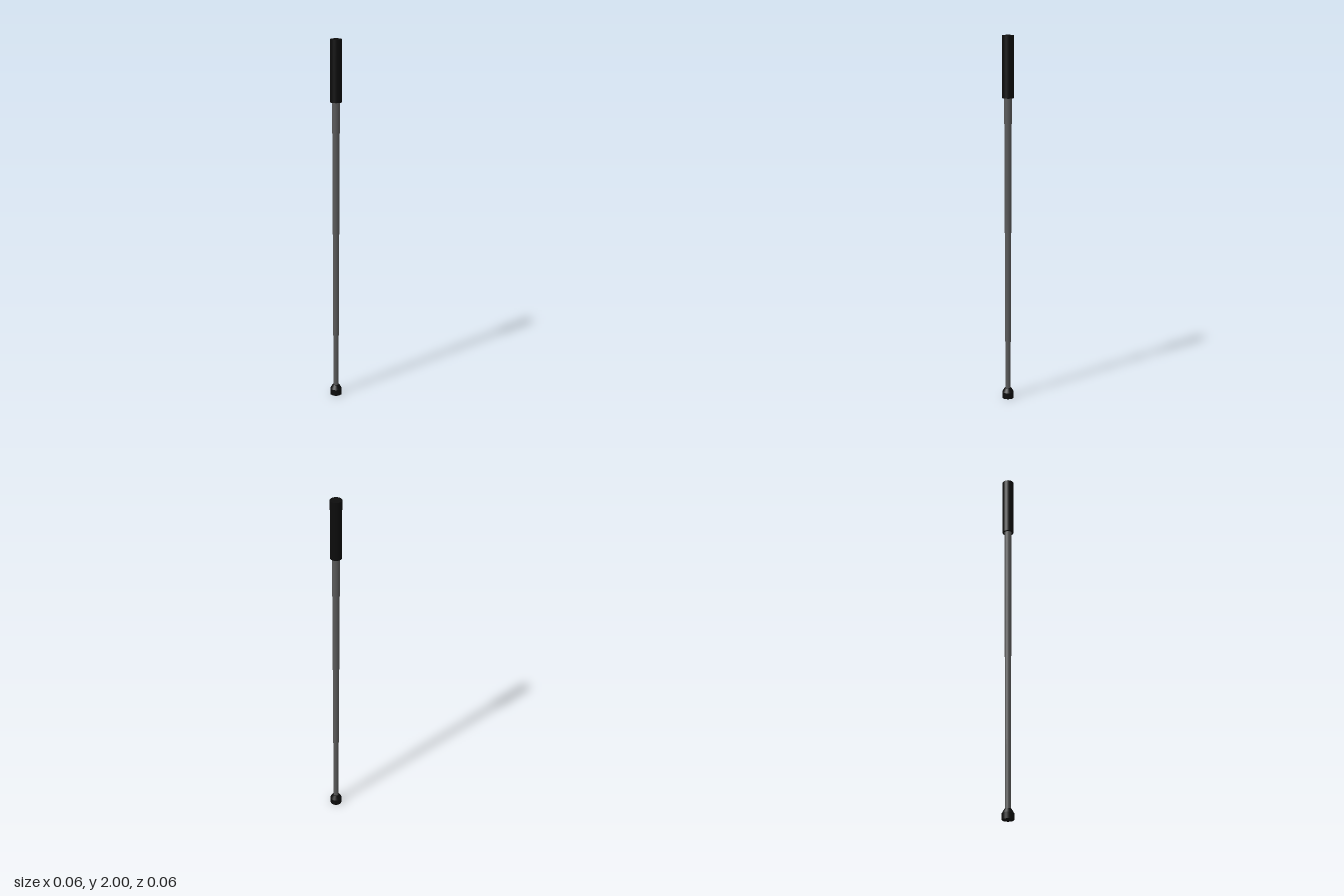
import * as THREE from 'three';

const SIDES = 32;

export function createModel() {
  const group = new THREE.Group();
  const black = new THREE.MeshStandardMaterial({ color: 0x0c0c0c });
  const grey = new THREE.MeshStandardMaterial({ color: 0x595959 });

  const add = (name, geometry, material, y = 0) => {
    const mesh = new THREE.Mesh(geometry, material);
    mesh.name = name;
    mesh.position.y = y;
    group.add(mesh);
  };

  // Long shaft, tapering gently towards the ground
  add('shaft', new THREE.CylinderGeometry(0.0205, 0.014, 1.66, SIDES), grey, 0.85);

  // Straight grip with flat ends
  add('grip', new THREE.CylinderGeometry(0.031, 0.031, 0.33, SIDES), black, 1.835);

  // Foot: a short drum with a conical shoulder up to the shaft
  add('footDrum', new THREE.CylinderGeometry(0.032, 0.032, 0.034, SIDES), black, 0.017);
  add('footShoulder', new THREE.CylinderGeometry(0.018, 0.032, 0.024, SIDES), black, 0.046);

  return group;
}
